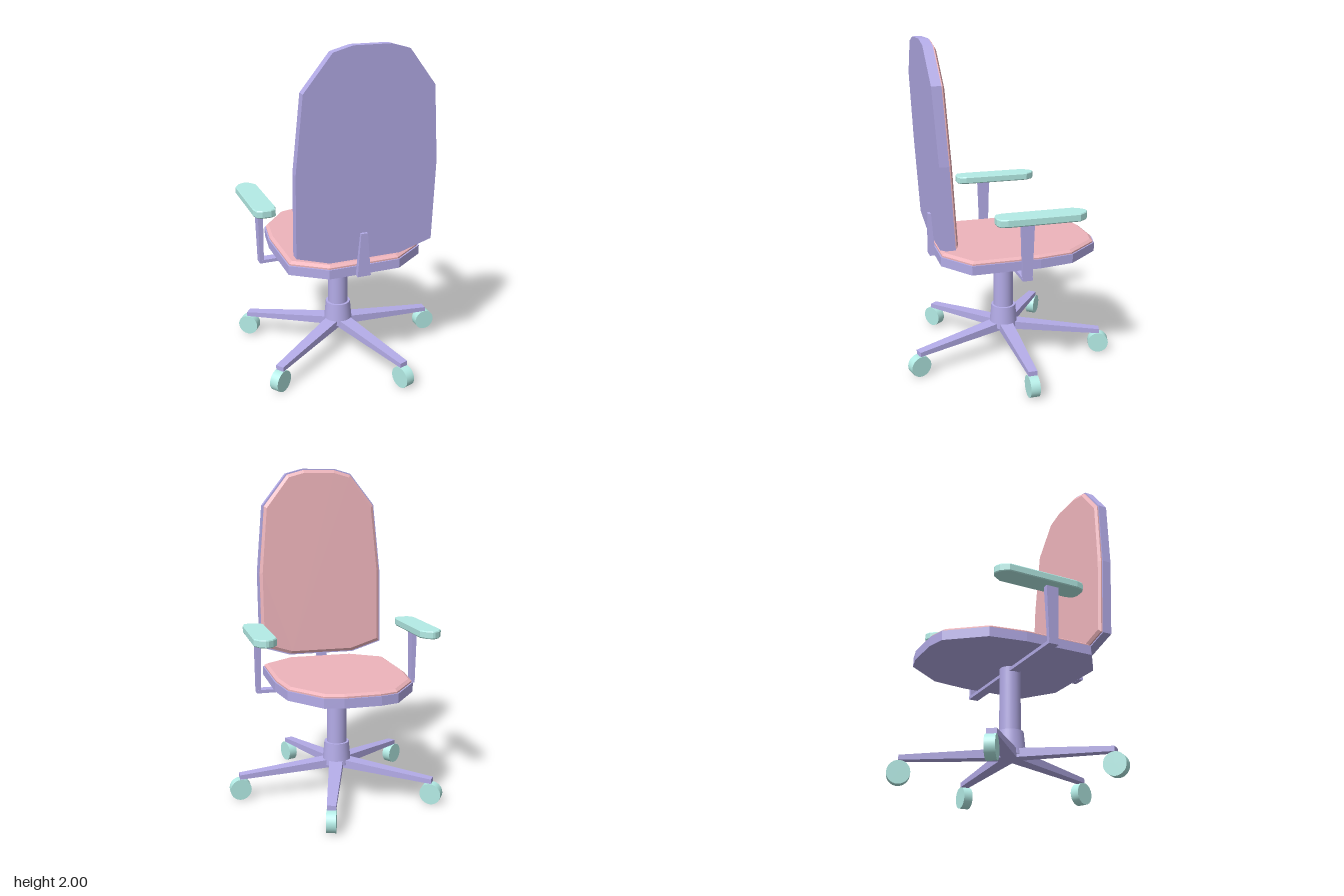
import * as THREE from 'three';

const shellMat = new THREE.MeshStandardMaterial({ color: 0xb4ace8 });
const fabricMat = new THREE.MeshStandardMaterial({ color: 0xeeb4bb });
const trimMat = new THREE.MeshStandardMaterial({ color: 0xb4ece6 });

// Faceted solid through convex cross-sections, capped at both ends
function loft(loops) {
  const tris = [];
  const n = loops[0].length;
  for (let k = 0; k + 1 < loops.length; k++) {
    for (let i = 0; i < n; i++) {
      const j = (i + 1) % n, a = loops[k], b = loops[k + 1];
      tris.push([a[i], a[j], b[j]], [a[i], b[j], b[i]]);
    }
  }
  const first = loops[0], last = loops[loops.length - 1];
  for (let i = 1; i + 1 < n; i++) {
    tris.push([first[0], first[i + 1], first[i]], [last[0], last[i], last[i + 1]]);
  }
  // Turn the faces outward whichever way the loops run
  let volume = 0;
  for (const [a, b, c] of tris) volume += a.dot(b.clone().cross(c));
  const pts = tris.flatMap(([a, b, c]) => (volume < 0 ? [a, c, b] : [a, b, c]));
  const geo = new THREE.BufferGeometry().setFromPoints(pts);
  geo.computeVertexNormals();
  return geo;
}

// Symmetric outline from [halfWidth, position] pairs
const mirrored = (half) => [
  ...half.map(([w, t]) => [w, t]),
  ...half.slice().reverse().map(([w, t]) => [-w, t]),
];

// Shrink an outline by about d on every side
function inset(outline, d) {
  const ts = outline.map((p) => p[1]);
  const lo = Math.min(...ts), hi = Math.max(...ts), mid = (lo + hi) / 2;
  const w = Math.max(...outline.map((p) => p[0]));
  const sx = 1 - d / w, st = 1 - (2 * d) / (hi - lo);
  return outline.map(([x, t]) => [x * sx, mid + (t - mid) * st]);
}

// Stack of outline layers [inset, height], placed in space by a mapping
const slab = (outline, layers, place) =>
  loft(layers.map(([d, h]) => inset(outline, d).map(([x, t]) => place(x, t, h))));

// Four-cornered cross-sections
const rectXZ = (y, cx, cz, hx, hz) =>
  [[-1, -1], [1, -1], [1, 1], [-1, 1]].map(([a, b]) => new THREE.Vector3(cx + a * hx, y, cz + b * hz));
const rectYZ = (x, y0, y1, hz) =>
  [[y0, -hz], [y1, -hz], [y1, hz], [y0, hz]].map(([y, z]) => new THREE.Vector3(x, y, z));

export function createModel() {
  const model = new THREE.Group();
  model.name = 'officeChair';
  const chair = new THREE.Group();
  chair.name = 'chair';
  chair.position.x = -0.047;
  model.add(chair);

  const add = (name, geo, mat, parent = chair) => {
    const mesh = new THREE.Mesh(geo, mat);
    mesh.name = name;
    parent.add(mesh);
    return mesh;
  };

  // Seat: shell with a bevelled cushion, front towards -z
  const seat = mirrored([[0.215, 0.44], [0.41, 0.3], [0.41, -0.11], [0.378, -0.32], [0.215, -0.523], [0.107, -0.55]]);
  const flat = (x, t, h) => new THREE.Vector3(x, h, t);
  add('seatShell', slab(seat, [[0, 0.7], [0, 0.755]], flat), shellMat);
  add('seatCushion', slab(seat, [[0.008, 0.755], [0.008, 0.764], [0.026, 0.776]], flat), fabricMat);

  // Backrest: same build, standing and leaning slightly backwards
  const back = mirrored([[0.214, 0.8], [0.408, 0.86], [0.41, 1.34], [0.37, 1.77], [0.213, 1.97], [0.105, 2.0]]);
  const leaning = (x, t, h) => new THREE.Vector3(x, t, 0.444 + (t - 0.8) * 0.0575 - h);
  add('backrestShell', slab(back, [[0, 0], [0, 0.056]], leaning), shellMat);
  add('backrestCushion', slab(back, [[0.008, 0.056], [0.008, 0.064], [0.026, 0.075]], leaning), fabricMat);
  add('backrestBracket', loft([rectXZ(0.7, -0.017, 0.456, 0.04, 0.015), rectXZ(0.96, -0.017, 0.456, 0.02, 0.015)]), shellMat);

  // Armrests joined by a bar beneath the seat
  add('armBar', new THREE.BoxGeometry(1.01, 0.02, 0.06), shellMat).position.y = 0.68;
  const pad = mirrored([[0.026, 0.185], [0.055, 0.172], [0.066, 0.13], [0.066, -0.29], [0.036, -0.335], [0.008, -0.35]]);
  for (const side of [1, -1]) {
    const arm = new THREE.Group();
    arm.name = side > 0 ? 'leftArmrest' : 'rightArmrest';
    arm.position.x = side * 0.493;
    chair.add(arm);
    add('armUpright', loft([rectXZ(0.67, 0, 0, 0.012, 0.028), rectXZ(1.02, 0, 0, 0.016, 0.038)]), shellMat, arm);
    add('armPad', slab(pad, [[0.004, 1.014], [0, 1.02], [0, 1.054], [0.004, 1.06]], flat), trimMat, arm);
  }

  // Gas column and hub
  add('column', new THREE.CylinderGeometry(0.062, 0.062, 0.4, 32), shellMat).position.y = 0.5;
  add('hub', new THREE.CylinderGeometry(0.077, 0.09, 0.14, 32), shellMat).position.y = 0.25;

  // Five tapered legs, each with a wheel at its tip
  const legGeo = loft([rectYZ(0, 0.165, 0.218, 0.045), rectYZ(0.617, 0.13, 0.158, 0.026)]);
  const wheelGeo = new THREE.CylinderGeometry(0.0645, 0.0645, 0.056, 28).rotateX(Math.PI / 2);
  for (let i = 0; i < 5; i++) {
    const spoke = new THREE.Group();
    spoke.name = 'baseSpoke' + (i + 1);
    spoke.rotation.y = (i * Math.PI * 2) / 5;
    chair.add(spoke);
    add('leg', legGeo, shellMat, spoke);
    add('wheel', wheelGeo, trimMat, spoke).position.set(0.613, 0.0645, 0);
  }
  return model;
}
